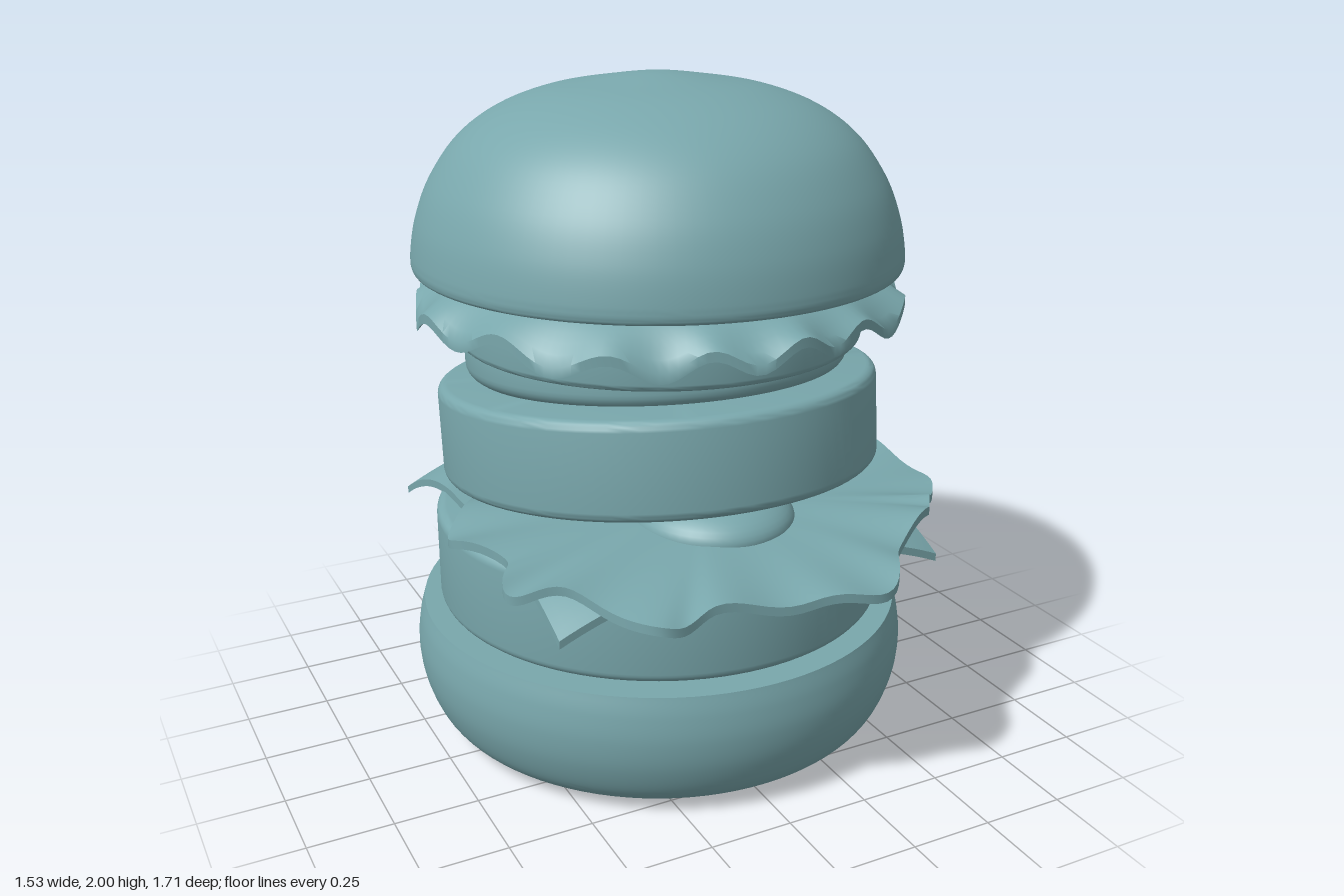
import * as THREE from 'three';
import { toCreasedNormals } from 'three/addons/utils/BufferGeometryUtils.js';

const AXIS_Z = -0.085; // the stack's own axis
const material = new THREE.MeshStandardMaterial({ color: 0x79a7ac });
const V2 = (x, y) => new THREE.Vector2(x, y);

function part(name, geometry, x = 0, y = 0, z = AXIS_Z) {
  const mesh = new THREE.Mesh(geometry, material);
  mesh.name = name;
  mesh.position.set(x, y, z);
  return mesh;
}

// Lathe through a list of [radius, y], bottom to top; the smoothed curve is capped flat.
function bun(points, capBottom, capTop) {
  const curve = new THREE.SplineCurve(points.map(([r, y]) => V2(r, y)));
  const profile = curve.getPoints(60).map((p) => V2(Math.max(p.x, 0), p.y));
  if (capBottom) profile.unshift(V2(0, points[0][1]));
  if (capTop) profile.push(V2(0, points[points.length - 1][1]));
  return toCreasedNormals(new THREE.LatheGeometry(profile, 96), 0.6);
}

// Disc centred on its origin with rounded rims.
function roundedDisc(radius, height, bevel) {
  const profile = [V2(0, -height / 2)];
  for (const side of [-1, 1]) {
    for (let i = 0; i <= 6; i++) {
      const a = (side < 0 ? -1 + i / 6 : i / 6) * Math.PI / 2;
      profile.push(V2(radius - bevel + bevel * Math.cos(a), side * (height / 2 - bevel) + bevel * Math.sin(a)));
    }
  }
  profile.push(V2(0, height / 2));
  return toCreasedNormals(new THREE.LatheGeometry(profile, 96), 0.6);
}

// Thin closed sheet: rule(u, t) gives the surface point, u from centre to rim, t around.
function sheet(thickness, rule) {
  const rings = 32, segments = 180, profile = [];
  for (let i = 0; i <= rings; i++) profile.push(V2(i / rings, -0.5));
  for (let i = rings; i >= 0; i--) profile.push(V2(i / rings, 0.5));
  const geometry = new THREE.LatheGeometry(profile, segments);
  const pos = geometry.attributes.position;
  for (let i = 0; i < pos.count; i++) {
    const t = Math.floor(i / profile.length) / segments;
    const p = rule(profile[i % profile.length].x, t % 1);
    pos.setXYZ(i, p.x, p.y + pos.getY(i) * thickness, p.z);
  }
  return toCreasedNormals(geometry, 0.8);
}

function lettuceGeometry() {
  return sheet(0.028, (u, t) => {
    const a = t * Math.PI * 2;
    const s = Math.max(0, (u - 0.8) / 0.2);
    const wave = Math.sin(16 * a + 0.8 * Math.sin(3 * a));
    const slow = Math.sin(5 * a + 1) * 0.6 + Math.sin(2 * a) * 0.4;
    const r = u * 0.725 + s * (0.012 * Math.cos(8 * a) + 0.008 * slow);
    const y = 1.436 - 0.09 * Math.pow(s, 1.5) + s * s * (0.026 * wave + 0.016 * slow);
    return new THREE.Vector3(r * Math.sin(a), y, r * Math.cos(a));
  });
}

function eggWhiteGeometry() {
  // rim points, from the front round past the left side
  const rim = new THREE.CatmullRomCurve3([
    [0, 0.72, 0.83], [0.24, 0.72, 0.85], [0.37, 0.75, 0.69], [0.56, 0.78, 0.56],
    [0.62, 0.77, 0.48], [0.72, 0.75, 0.35], [0.69, 0.8, 0.13], [0.63, 0.81, -0.04],
    [0.57, 0.77, -0.25], [0.38, 0.76, -0.36], [0.1, 0.75, -0.47], [-0.25, 0.76, -0.42],
    [-0.5, 0.77, -0.28], [-0.62, 0.78, -0.08], [-0.75, 0.76, 0.1], [-0.66, 0.775, 0.32],
    [-0.72, 0.75, 0.47], [-0.57, 0.76, 0.57], [-0.43, 0.72, 0.8], [-0.27, 0.74, 0.79],
  ].map((p) => new THREE.Vector3(...p)), true);
  return sheet(0.026, (u, t) => {
    const p = rim.getPoint(t);
    const ripple = 0.011 * Math.sin(t * Math.PI * 34) * Math.pow(u, 5);
    return new THREE.Vector3(
      p.x * u,
      THREE.MathUtils.lerp(0.78, p.y, Math.pow(u, 2.5)) + ripple,
      THREE.MathUtils.lerp(0.2, p.z, u),
    );
  });
}

// Square slice whose corners hang over the patty, the back right one lowest.
function cheeseGeometry() {
  const geometry = new THREE.BoxGeometry(1.21, 0.024, 1.33, 40, 1, 40);
  const pos = geometry.attributes.position;
  for (let i = 0; i < pos.count; i++) {
    const x = pos.getX(i), z = pos.getZ(i);
    const over = Math.max(0, (Math.hypot(x, z - 0.03) - 0.64) / 0.25);
    const drop = z > 0 ? 0.118 : x < 0 ? 0.135 : 0.095;
    pos.setY(i, pos.getY(i) - drop * Math.pow(over, 1.4));
    if (x > 0 && z < 0) pos.setX(i, x + 0.02 * Math.min(over, 1));
  }
  return toCreasedNormals(geometry, 0.6);
}

export function createModel() {
  const group = new THREE.Group();
  group.name = 'burger';

  // bread
  group.add(part('bottomBun', bun([[0, 0], [0.35, 0.003], [0.6, 0.012], [0.67, 0.03], [0.72, 0.08],
    [0.755, 0.17], [0.766, 0.26], [0.758, 0.34], [0.742, 0.4]], false, true)));
  group.add(part('topBun', bun([[0.705, 1.45], [0.722, 1.458], [0.724, 1.5], [0.705, 1.6], [0.66, 1.71],
    [0.58, 1.82], [0.47, 1.9], [0.33, 1.953], [0.17, 1.982], [0.06, 1.997], [0, 2]], true, false)));

  // patties, the upper one leaning back
  group.add(part('lowerPatty', roundedDisc(0.69, 0.3, 0.03), 0, 0.56));
  const upperPatty = part('upperPatty', roundedDisc(0.665, 0.285, 0.03), 0, 0.97);
  upperPatty.rotation.x = -0.1;
  group.add(upperPatty);

  // cheese and fried egg
  group.add(part('cheeseSlice', cheeseGeometry(), 0, 0.724, -0.115));
  group.add(part('eggWhite', eggWhiteGeometry(), 0, 0, 0));
  const yolk = part('eggYolk', new THREE.SphereGeometry(1, 48, 24), -0.015, 0.78, 0.3);
  yolk.scale.set(0.235, 0.1, 0.245);
  group.add(yolk);

  // tomato slices, the lower one resting on the leaning patty
  const lowerTomato = part('lowerTomato', roundedDisc(0.587, 0.138, 0.045), 0.035, 1.17, -0.175);
  lowerTomato.rotation.x = -0.085;
  group.add(lowerTomato);
  group.add(part('upperTomato', roundedDisc(0.607, 0.15, 0.02), 0, 1.31));

  // frilled leaf under the top bun
  group.add(part('lettuce', lettuceGeometry()));

  return group;
}
